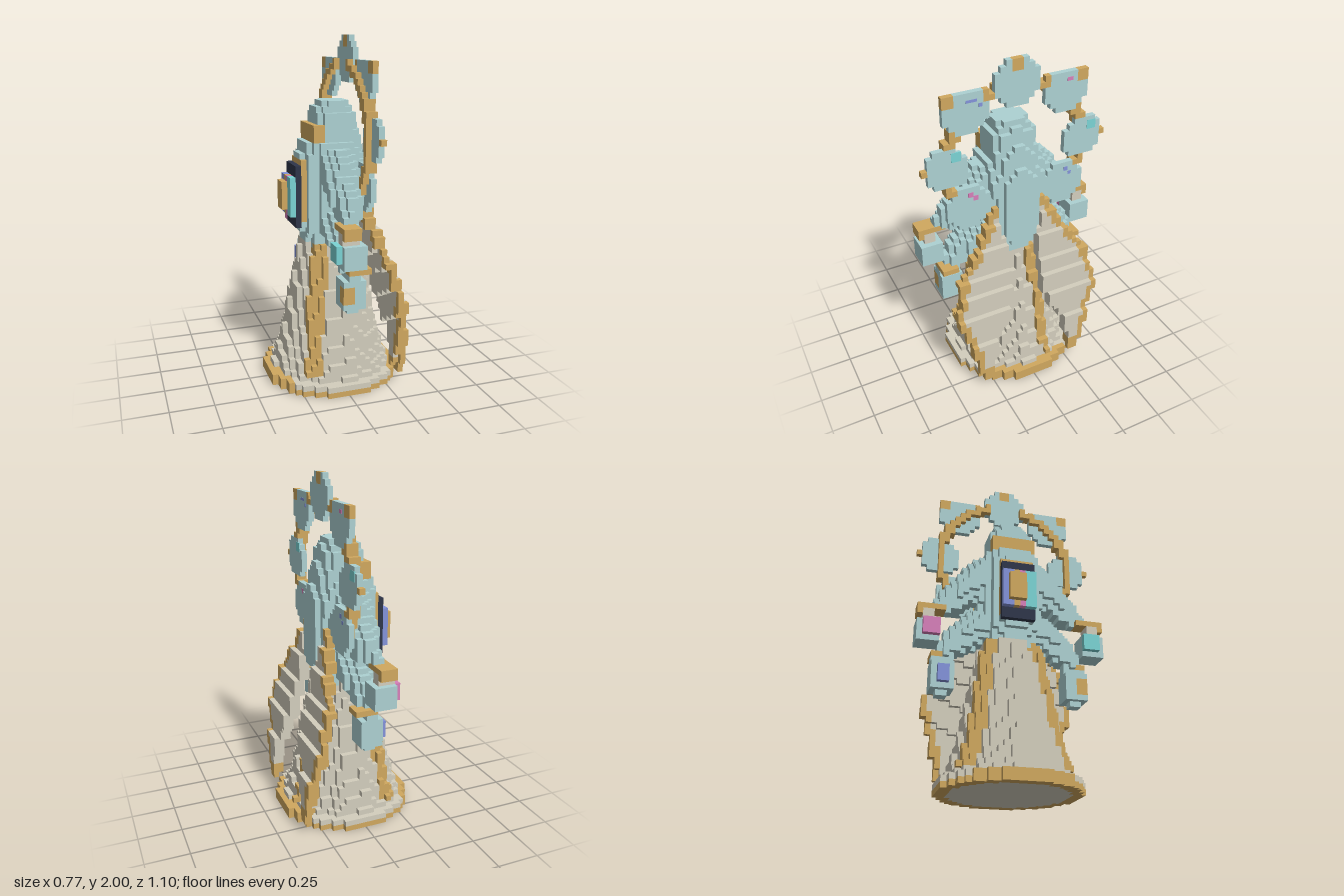
import * as THREE from 'three';

// Block grid: 24 x 62 x 34 cubes
const NX = 24, NY = 62, NZ = 34, V = 2 / 62;
const COLORS = { teal: 0xadd1d2, gold: 0xd0a85f, stone: 0xd3cebd, navy: 0x2f364a, pink: 0xd780ba, blue: 0x8393da, cyan: 0x7bd4d5 };

// Piecewise linear profile [[t, value], ...]
function lerp(points, t) {
  if (t <= points[0][0]) return points[0][1];
  for (let i = 1; i < points.length; i++) {
    const [a, va] = points[i - 1], [b, vb] = points[i];
    if (t <= b) return va + (vb - va) * (t - a) / (b - a);
  }
  return points[points.length - 1][1];
}

// Is the point inside a tapered limb between a and b?
function limb(p, a, b, ra, rb) {
  const d = b.map((v, i) => v - a[i]);
  const len2 = d.reduce((s, v) => s + v * v, 0);
  const t = Math.min(1, Math.max(0, d.reduce((s, v, i) => s + v * (p[i] - a[i]), 0) / len2));
  return Math.hypot(...p.map((v, i) => v - a[i] - d[i] * t)) < ra + (rb - ra) * t;
}

const within = (v, a, b) => v > a && v < b;

export function createModel() {
  const model = new THREE.Group();
  model.name = 'robedFigure';
  const mats = {};
  for (const [name, color] of Object.entries(COLORS)) {
    mats[name] = new THREE.MeshStandardMaterial({ color });
    mats[name].name = name;
  }

  const grid = new Array(NX * NY * NZ).fill(null);
  const index = (i, j, k) => (i * NY + j) * NZ + k;
  const parts = [];
  // A rule returns the colour name of a cell centre, or nothing
  function fill(part, rule) {
    parts.push(part);
    for (let i = 0; i < NX; i++) for (let j = 0; j < NY; j++) for (let k = 0; k < NZ; k++) {
      const color = rule((i + 0.5 - NX / 2) * V, (j + 0.5) * V, (k + 0.5 - NZ / 2) * V);
      if (color) grid[index(i, j, k)] = { part, color };
    }
  }

  // Flared skirt with faint pleats, gold hem and raised gold ribbons
  const skirtR = [[0.07, 0.35], [0.1, 0.335], [0.2, 0.295], [0.35, 0.262], [0.5, 0.235], [0.65, 0.2], [0.82, 0.165]];
  fill('skirt', (x, y, z) => {
    const r = Math.hypot(x, z);
    if (y < V) return r < 0.392 ? (r > 0.335 ? 'gold' : 'stone') : null;
    if (y < 2 * V) return r < 0.392 ? (r > 0.335 && Math.abs(x) > 0.29 ? 'gold' : 'stone') : null;
    if (y > 0.84) return null;
    const a = Math.atan2(z, x), R = lerp(skirtR, y) + 0.008 * Math.sin(14 * a);
    const front = Math.abs(Math.abs(a) - 2.2) * r < 0.045;
    const back = Math.abs(z + 0.065 + (0.8 - y) * 0.07) < 0.03 && x > 0;
    if (y > 0.09 && (front || back) && r > R - 0.05 && r < R + 0.02) return 'gold';
    return r < R ? 'stone' : null;
  });

  // Pair of leaf-shaped cape panels leaning out behind, thinner at the rim
  const capeX = [[0.05, 0.335], [0.2, 0.325], [0.4, 0.3], [0.55, 0.27], [0.7, 0.235], [0.8, 0.205], [0.94, 0.175], [1.15, 0.12]];
  const capeOut = [[0.06, 0.29], [0.12, 0.34], [0.35, 0.39], [0.52, 0.45], [0.6, 0.45], [0.64, 0.42], [0.75, 0.41], [0.82, 0.36], [0.9, 0.3], [1.0, 0.235], [1.15, 0.165]];
  const capeIn = [[0.06, 0.26], [0.2, 0.25], [0.38, 0.2], [0.5, 0.12], [0.75, 0.09], [1.15, 0.13]];
  fill('capePanels', (x, y, z) => {
    const w = Math.abs(z), out = lerp(capeOut, y), inner = lerp(capeIn, y);
    if (!within(y, 0.06, 1.17) || !within(w, inner, out)) return null;
    if (!within(x - lerp(capeX, y), -0.033 + 0.1 * Math.max(0, w - 0.2), 0.033)) return null;
    return w > out - 0.042 || (y < 0.17 && w < inner + 0.03) ? 'gold' : 'stone';
  });

  // Torso, narrow at the chest
  const torsoX = [[0.8, 0.13], [0.86, 0.165], [0.95, 0.195], [1.31, 0.2], [1.36, 0.17], [1.42, 0.16]];
  const torsoZ = [[0.8, 0.13], [0.95, 0.17], [1.25, 0.19], [1.36, 0.19], [1.42, 0.15]];
  fill('torso', (x, y, z) => within(y, 0.8, 1.42) && (x > -0.1 || Math.abs(z) < 0.115) &&
    Math.abs(x / lerp(torsoX, y)) ** 2.4 + Math.abs(z / lerp(torsoZ, y)) ** 2.4 < 1 ? 'teal' : null);

  // Hooded head with a gold brow band on the face side
  const headX = [[1.36, 0.17], [1.45, 0.145], [1.55, 0.118], [1.6, 0.1], [1.65, 0.085]];
  const headZ = [[1.36, 0.14], [1.56, 0.14], [1.6, 0.11], [1.65, 0.08]];
  fill('head', (x, y, z) => {
    if (!within(y, 1.36, 1.646)) return null;
    if (within(x, -0.13, -0.065) && within(y, 1.43, 1.51) && Math.abs(z) < 0.125) return 'gold';
    return Math.abs((x - 0.015) / lerp(headX, y)) ** 2.5 + Math.abs(z / lerp(headZ, y)) ** 2.5 < 1 ? 'teal' : null;
  });

  // Upper arms reaching out, lower arms hanging
  fill('upperArms', (x, y, z) => {
    const p = [x, y, Math.abs(z)];
    return limb(p, [0, 1.29, 0.16], [0, 1.1, 0.34], 0.105, 0.08) ||
      limb(p, [0, 1.1, 0.34], [-0.03, 1.04, 0.41], 0.07, 0.05) ? 'teal' : null;
  });
  fill('lowerArms', (x, y, z) => {
    const p = [x, y, Math.abs(z)];
    return limb(p, [0.01, 0.97, 0.15], [0, 0.86, 0.3], 0.1, 0.08) ||
      limb(p, [0, 0.86, 0.3], [0, 0.78, 0.37], 0.075, 0.055) ? 'teal' : null;
  });

  // Upper hands: rounded blocks under a gold cuff, with coloured inlays
  fill('upperHands', (x, y, z) => {
    const w = Math.abs(z);
    if (within(x, -0.1, 0)) {
      if (within(w, 0.515, 0.55) && within(y, 0.965, 1.034)) return 'gold';
      if (within(w, 0.385, 0.515) && within(y, 1.0, 1.034)) return 'gold';
      if (within(w, 0.45, 0.515) && within(y, 0.93, 1.0)) return 'stone';
    }
    if (within(w, 0.42, 0.515) && within(y, 0.84, 0.94) && within(x, -0.13, -0.097)) return z > 0 ? 'cyan' : 'pink';
    return within(w, 0.42, 0.55) && within(y, 0.81, 0.94) && within(x, -0.1, 0.03) &&
      Math.abs(w - 0.48) + Math.abs(y - 0.875) < 0.11 ? 'teal' : null;
  });

  // Lower hands
  fill('lowerHands', (x, y, z) => {
    const w = Math.abs(z);
    if (within(w, 0.355, 0.45) && within(y, 0.74, 0.78) && within(x, -0.033, 0.097)) return 'gold';
    if (within(w, 0.355, 0.42) && within(y, 0.58, 0.68) && within(x, -0.1, -0.065) && z < 0) return 'blue';
    if (!within(w, 0.32, 0.45) || !within(y, 0.52, 0.75)) return null;
    if (Math.max(Math.abs(x), (Math.abs(x) + Math.abs(y - 0.635)) * 0.5, (Math.abs(w - 0.385) + Math.abs(y - 0.635)) * 0.46) > 0.065) return null;
    return within(y, 0.59, 0.68) && within(x, -0.065, 0) && z > 0.4 ? 'gold' : 'teal';
  });

  // Layered chest emblem on the face side
  fill('chestEmblem', (x, y, z) => {
    const w = Math.abs(z);
    if (within(x, -0.194, -0.161)) return w < 0.1 && within(y, 0.96, 1.33) ? 'gold' : null;
    if (within(x, -0.226, -0.194)) return w < 0.1 && within(y, 0.935, 1.29) ? 'navy' : null;
    if (within(x, -0.258, -0.226) && w < 0.1 && within(y, 1.0, 1.23))
      return z < -0.03 ? 'blue' : z < 0 ? 'gold' : z < 0.033 ? 'pink' : 'cyan';
    return within(x, -0.291, -0.258) && within(z, -0.066, 0.034) && within(y, 1.03, 1.2) &&
      Math.abs(z + 0.016) + Math.abs(y - 1.113) < 0.1 ? 'gold' : null;
  });

  // Halo: gold ring, open at the crown, carrying seven flat plates
  const onRing = (y, z) => Math.abs(Math.hypot(y - 1.44, z) - 0.41) < 0.024;
  fill('haloRing', (x, y, z) =>
    within(x, 0.064, 0.097) && y > 1.15 && Math.abs(z) > 0.09 && onRing(y, z) ? 'gold' : null);
  const plates = [[0, 1.87, 0.137], [0.29, 1.76, 0.13], [0.405, 1.465, 0.122], [0.3, 1.19, 0.13]];
  fill('haloPlates', (x, y, z) => {
    if (!within(x, 0.097, 0.129)) return null;
    const w = Math.abs(z);
    if (w > 0.51 && within(y, 1.45, 1.5)) return 'gold';
    for (const [pz, py, r] of plates) {
      const dz = Math.abs(w - pz), dy = Math.abs(y - py);
      const shoulder = pz === 0.29 && y > py;
      if (Math.max(dz, dy, (dz + dy) * (shoulder ? 0.6 : 0.74)) > r || y > 1.87 && pz > 0) continue;
      const tip = (w < 0.04 && y > 1.94) || (shoulder && y > 1.82 && (w > 0.37 || w < 0.2));
      return tip ? 'gold' : 'teal';
    }
    return onRing(y, z) && y > 1.25 ? 'gold' : null;
  });

  // Turn the exposed cube faces of each part into one mesh per colour
  const size = [NX, NY, NZ], buckets = {};
  for (let i = 0; i < NX; i++) for (let j = 0; j < NY; j++) for (let k = 0; k < NZ; k++) {
    const cell = grid[index(i, j, k)];
    if (!cell) continue;
    const out = ((buckets[cell.part] ??= {})[cell.color] ??= []);
    const c = [i, j, k];
    for (let axis = 0; axis < 3; axis++) for (const side of [0, 1]) {
      const n = [...c];
      n[axis] += side * 2 - 1;
      if (n[axis] >= 0 && n[axis] < size[axis] && grid[index(...n)]) continue;
      const u = (axis + 1) % 3, v = (axis + 2) % 3;
      const corner = (du, dv) => {
        const p = [...c];
        p[axis] += side; p[u] += du; p[v] += dv;
        return [(p[0] - NX / 2) * V, p[1] * V, (p[2] - NZ / 2) * V];
      };
      const q = [corner(0, 0), corner(1, 0), corner(1, 1), corner(0, 1)];
      if (!side) q.reverse();
      out.push(...q[0], ...q[1], ...q[2], ...q[0], ...q[2], ...q[3]);
    }
  }
  for (const part of parts) {
    const group = new THREE.Group();
    group.name = part;
    for (const [color, pos] of Object.entries(buckets[part])) {
      const geo = new THREE.BufferGeometry();
      geo.setAttribute('position', new THREE.Float32BufferAttribute(pos, 3));
      geo.computeVertexNormals();
      const mesh = new THREE.Mesh(geo, mats[color]);
      mesh.name = `${part}_${color}`;
      group.add(mesh);
    }
    model.add(group);
  }

  // Small inlays on the back of the halo plates: colour, y, z, height, width
  const inlays = [['blue', 1.825, 0.26, 0.015, 0.06], ['blue', 1.795, 0.21, 0.02, 0.02], ['pink', 1.83, -0.31, 0.02, 0.035],
    ['cyan', 1.53, 0.355, 0.055, 0.055], ['cyan', 1.53, -0.46, 0.055, 0.055],
    ['pink', 1.275, 0.28, 0.03, 0.03], ['pink', 1.25, 0.25, 0.03, 0.03], ['blue', 1.28, -0.31, 0.025, 0.025], ['blue', 1.25, -0.335, 0.02, 0.02]];
  for (const [color, y, z, h, w] of inlays) {
    const inlay = new THREE.Mesh(new THREE.BoxGeometry(0.006, h, w), mats[color]);
    inlay.name = 'haloInlay';
    inlay.position.set(0.128, y, z);
    model.add(inlay);
  }
  return model;
}
